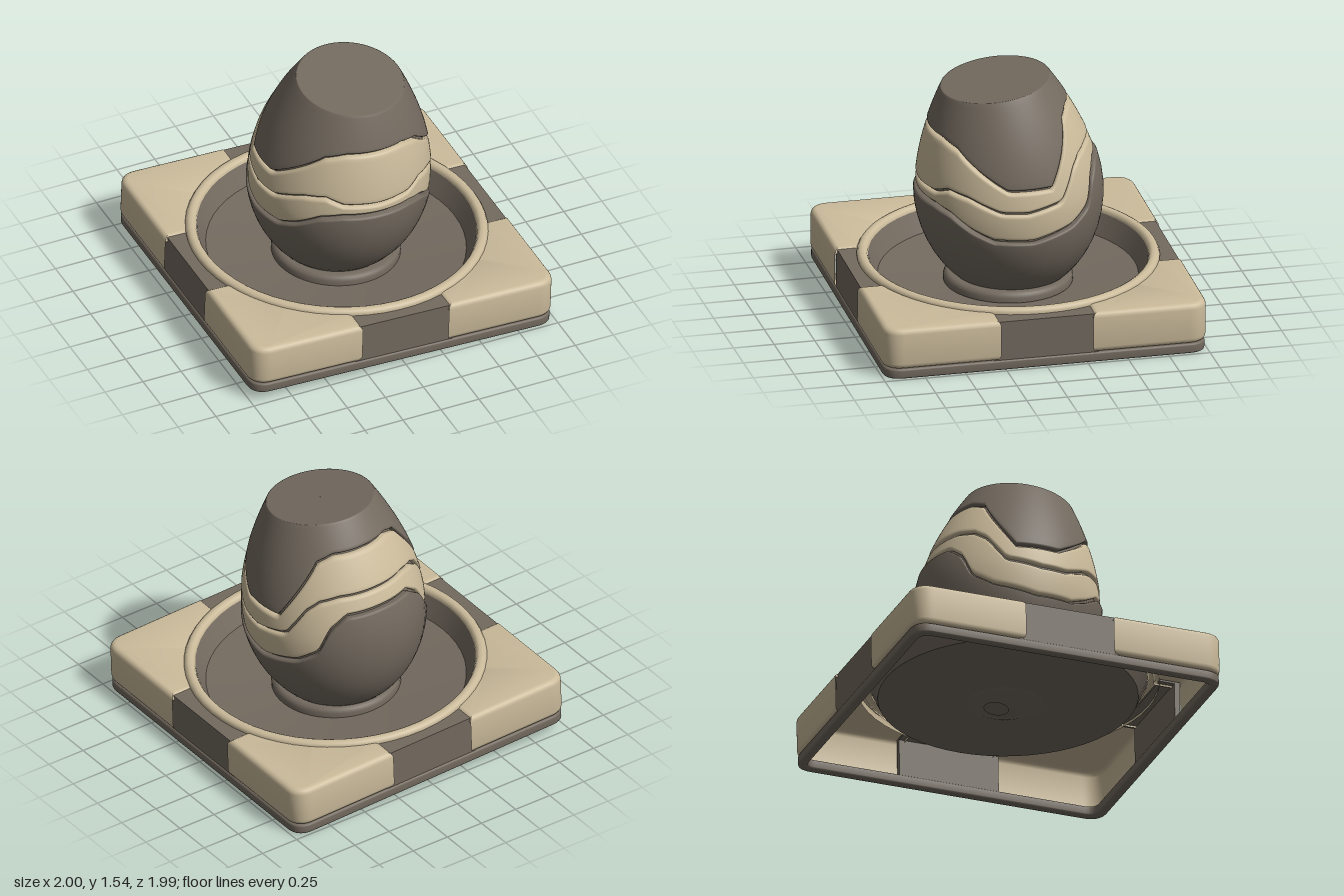
import * as THREE from 'three';
import { toCreasedNormals } from 'three/addons/utils/BufferGeometryUtils.js';

const stone = new THREE.MeshStandardMaterial({ color: 0x736a5f, side: THREE.DoubleSide });
stone.name = 'dark stone';
const sand = new THREE.MeshStandardMaterial({ color: 0xcbbb9b, side: THREE.DoubleSide });
sand.name = 'pale sand';

function add(parent, name, geometry, material) {
  const mesh = new THREE.Mesh(geometry, material);
  mesh.name = name;
  parent.add(mesh);
  return mesh;
}

const lathe = (pts, n = 56) => new THREE.LatheGeometry(pts.map(p => new THREE.Vector2(...p)), n);

// Rounded plate lying flat, from y0 to y1
function slab(shape, y0, y1, bevel) {
  const g = new THREE.ExtrudeGeometry(shape, {
    depth: y1 - y0 - 2 * bevel, bevelThickness: bevel, bevelSize: bevel, bevelSegments: 4, curveSegments: 16,
  });
  g.rotateX(-Math.PI / 2);
  g.translate(0, y0 + bevel, 0);
  return toCreasedNormals(g, 0.6);
}

// Leaves only the outer shell of a block: no underside and no walls facing the bowl
function hollow(g, bottom, top, radius) {
  const p = g.attributes.position, keep = [];
  for (let i = 0; i < p.count; i += 3) {
    const tri = [i, i + 1, i + 2];
    const high = Math.max(...tri.map(k => p.getY(k)));
    const near = Math.min(...tri.map(k => Math.hypot(p.getX(k), p.getZ(k))));
    if (high > bottom + 1e-4 && (high > top + 1e-4 || near > radius)) keep.push(...tri);
  }
  g.setIndex(keep);
  return g;
}

function roundedSquare(path, h, r) {
  path.moveTo(-h + r, -h);
  path.lineTo(h - r, -h).quadraticCurveTo(h, -h, h, -h + r);
  path.lineTo(h, h - r).quadraticCurveTo(h, h, h - r, h);
  path.lineTo(-h + r, h).quadraticCurveTo(-h, h, -h, h - r);
  path.lineTo(-h, -h + r).quadraticCurveTo(-h, -h, -h + r, -h);
  return path;
}

function buildBase() {
  const base = new THREE.Group();
  base.name = 'base';

  // Thin square frame along the ground
  const frame = roundedSquare(new THREE.Shape(), 0.978, 0.1);
  frame.holes.push(roundedSquare(new THREE.Path(), 0.945, 0.08));
  add(base, 'bottomFrame', slab(frame, 0, 0.062, 0.012), stone);

  // Pale corner blocks, cut away round the bowl
  const e = 0.961, a = 0.318, R = 0.905, b = Math.sqrt(R * R - a * a), t = Math.atan2(b, a);
  const corner = new THREE.Shape();
  corner.moveTo(a, b);
  corner.absarc(0, 0, R, t, Math.PI / 2 - t, true);
  corner.lineTo(e, a);
  corner.lineTo(e, e - 0.085).quadraticCurveTo(e, e, e - 0.085, e);
  corner.lineTo(a, e);
  const cornerGeo = hollow(slab(corner, 0.062, 0.32, 0.035), 0.062, 0.285, 0.95);

  // Dark panels between the corners
  const wallGeo = new THREE.BoxGeometry(0.64, 0.3, 0.035).translate(0, 0.16, 0.9625);
  const ledgeGeo = new THREE.BoxGeometry(0.64, 0.012, 0.12).translate(0, 0.304, 0.91);
  for (let i = 0; i < 4; i++) {
    const side = new THREE.Group();
    side.name = 'baseSide';
    side.rotation.y = i * Math.PI / 2;
    add(side, 'cornerBlock', cornerGeo, sand);
    add(side, 'sidePanel', wallGeo, stone);
    add(side, 'sideLedge', ledgeGeo, stone);
    base.add(side);
  }

  // Bowl: rounded rim, steep wall, shallow floor
  add(base, 'bowlRim', lathe([[0.907, 0.28], [0.907, 0.32], [0.898, 0.336], [0.882, 0.344],
    [0.862, 0.344], [0.848, 0.336], [0.84, 0.32], [0.838, 0.3]]), sand);
  add(base, 'bowlWall', lathe([[0.838, 0.315], [0.78, 0.19]]), stone);
  add(base, 'bowlFloor', lathe([[0.78, 0.19], [0.18, 0.137], [0, 0.137]]), stone);

  // Collar holding the egg
  add(base, 'eggCollar', lathe([[0.388, 0.16], [0.388, 0.19], [0.38, 0.212], [0.36, 0.222], [0.3, 0.222]]), stone);

  base.rotation.z = -0.035;
  base.position.set(-0.006, 0.035, 0);
  return base;
}

// Egg radius at height s above its widest ring; slightly narrower across than deep
const TOP = 0.7, BOTTOM = -0.675, NARROW = 0.98;
const eggRadius = s => 0.565 * (s < 0 ? Math.sqrt(Math.max(0, 1 - (s / 0.68) ** 2)) : 1 - 0.755 * s ** 1.7);

// Wavy seams: [degrees from the front, height], mirrored left and right
const lowerSeam = [[0, 0.825], [24, 0.825], [38, 0.80], [53, 0.715], [66, 0.66], [91, 0.65], [119, 0.71],
  [134, 0.79], [143, 0.94], [155, 1.025], [180, 1.03]];
const middleSeam = [[0, 0.89], [24, 0.90], [36, 0.94], [52, 0.92], [73, 0.845], [90, 0.84],
  [113, 0.88], [128, 1.05], [138, 1.11], [152, 1.14], [180, 1.145]];
const upperSeam = [[0, 1.215], [25, 1.215], [42, 1.185], [79, 0.98], [108, 0.98], [138, 1.34], [152, 1.385], [180, 1.39]];

function seamHeight(seam, phi) {
  const d = Math.abs(phi > Math.PI ? phi - 2 * Math.PI : phi) * 180 / Math.PI;
  let i = 1;
  while (i < seam.length - 1 && d > seam[i][0]) i++;
  const [d0, y0] = seam[i - 1], [d1, y1] = seam[i];
  const y = y0 + (y1 - y0) * Math.min(1, (d - d0) / (d1 - d0));
  return y - 0.8 + 0.066 * Math.cos(phi);
}

// Shell of the egg between two seams, with softly rounded lips
function eggBand(lower, upper, swell) {
  const N = 120, gap = 0.009, pos = [], index = [];
  let rows = 0;
  for (let j = 0; j < N; j++) {
    const phi = j / N * Math.PI * 2;
    const lo = lower ? seamHeight(lower, phi) + gap : BOTTOM;
    const hi = upper ? seamHeight(upper, phi) - gap : TOP;
    const ring = [];
    const put = (s, inset) => ring.push([s, Math.max(0.001, eggRadius(s) + swell - inset)]);
    if (lower) { put(lo, 0.045); put(lo, 0.014); put(lo + 0.005, 0.004); }
    const s0 = lower ? lo + 0.015 : lo, s1 = upper ? hi - 0.015 : hi;
    for (let k = 0; k <= 14; k++) put(s0 + (s1 - s0) * (lower ? k / 14 : 1 - Math.cos(k / 14 * Math.PI / 2)), 0);
    if (upper) { put(hi - 0.005, 0.004); put(hi, 0.014); put(hi, 0.045); }
    else for (const r of [eggRadius(TOP) - 0.004, eggRadius(TOP) - 0.012, 0.001]) ring.push([TOP + 0.002, r]);
    rows = ring.length;
    for (const [s, r] of ring) pos.push(NARROW * r * Math.sin(phi), s, r * Math.cos(phi));
  }
  for (let j = 0; j < N; j++) {
    for (let i = 0; i < rows - 1; i++) {
      const a = j * rows + i, b = ((j + 1) % N) * rows + i;
      index.push(a, b, a + 1, b, b + 1, a + 1);
    }
  }
  const g = new THREE.BufferGeometry();
  g.setAttribute('position', new THREE.Float32BufferAttribute(pos, 3));
  g.setIndex(index);
  g.computeVertexNormals();
  return g;
}

function buildEgg() {
  const egg = new THREE.Group();
  egg.name = 'egg';
  add(egg, 'lowerShell', eggBand(null, lowerSeam, 0.005), stone);
  add(egg, 'lowerBand', eggBand(lowerSeam, middleSeam, -0.008), sand);
  add(egg, 'upperBand', eggBand(middleSeam, upperSeam, -0.004), sand);
  add(egg, 'flatCap', eggBand(upperSeam, null, 0), stone);

  // Dark core showing in the grooves
  const core = [];
  for (let i = 0; i <= 20; i++) {
    const s = -0.5 + i / 20 * 1.15;
    core.push([eggRadius(s) - 0.035, s]);
  }
  add(egg, 'core', lathe(core).scale(NARROW, 1, 1), stone);

  egg.rotation.set(0.125, 0, -0.045);
  egg.position.set(0.02, 0.8, 0.004);
  return egg;
}

export function createModel() {
  const model = new THREE.Group();
  model.name = 'eggOnPedestal';
  model.add(buildBase(), buildEgg());
  return model;
}
